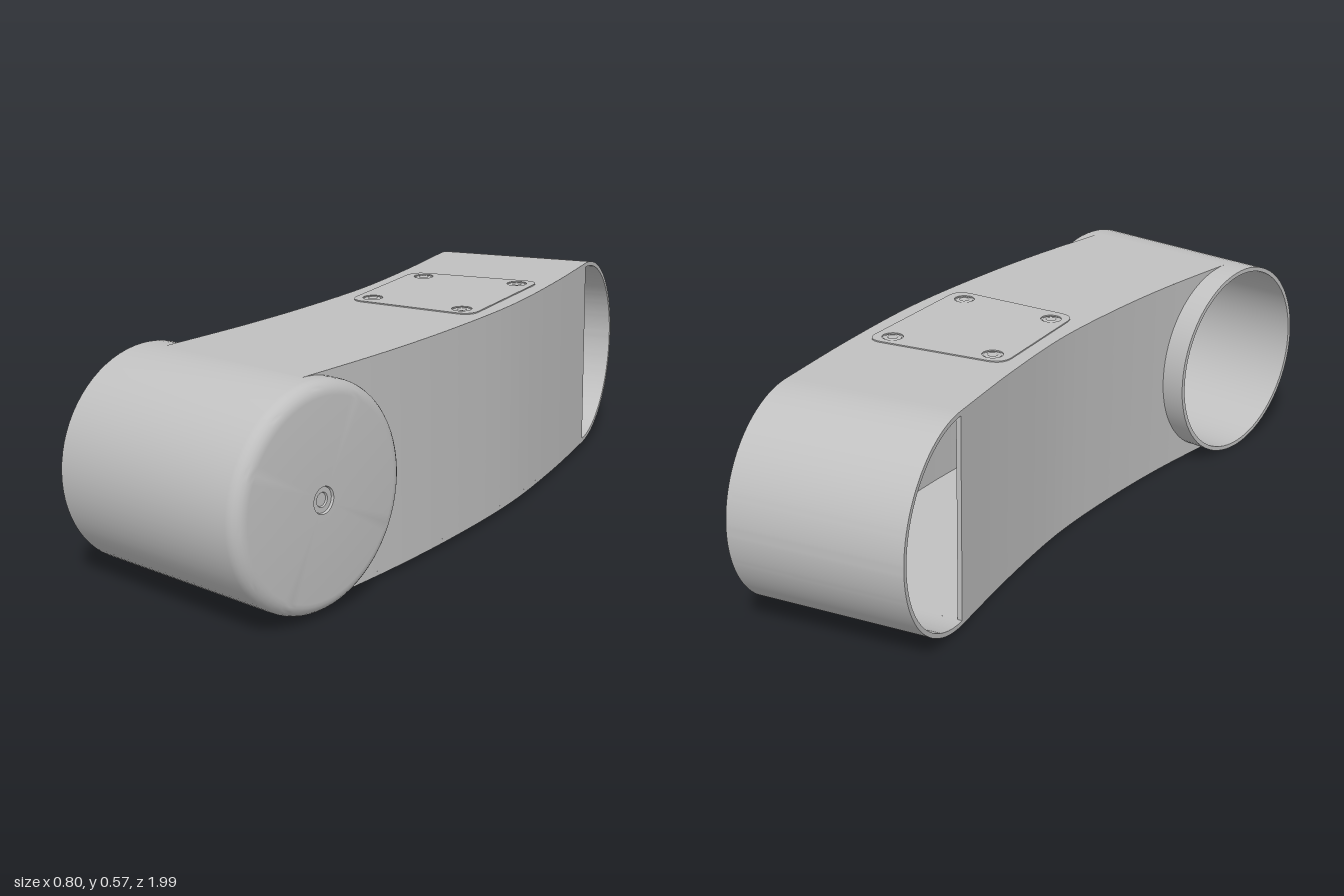
import * as THREE from 'three';
import { toCreasedNormals } from 'three/addons/utils/BufferGeometryUtils.js';
import { ParametricGeometry } from 'three/addons/geometries/ParametricGeometry.js';

const R = 0.277;      // outer radius of both ends, half height of the arm
const WALL = 0.012;   // shell thickness
const HALF_W = 0.23;  // half width of the arm

export function createModel() {
  const grey = new THREE.MeshStandardMaterial({ color: 0xc0c0c0, side: THREE.DoubleSide });
  grey.name = 'light grey';

  const model = new THREE.Group();
  model.name = 'curvedArmLink';
  const body = new THREE.Group();
  body.name = 'armBody';
  body.position.y = 0.285;
  body.rotation.z = 0.0185;
  model.add(body);

  const add = (name, geometry) => {
    const mesh = new THREE.Mesh(geometry, grey);
    mesh.name = name;
    body.add(mesh);
    return mesh;
  };

  // Centre line of the arm in plan (x, z)
  const path = new THREE.SplineCurve([
    [0.16, -0.72], [0.16, -0.45], [0.145, -0.16], [0.10, 0.12], [0.04, 0.38], [-0.04, 0.65],
  ].map(([x, z]) => new THREE.Vector2(x, z)));
  const length = path.getLength();
  const place = (s, w, y, target) => {
    const u = Math.min(1, Math.max(0, s / length));
    const p = path.getPointAt(u), t = path.getTangentAt(u);
    target.set(p.x + t.y * w, y, p.y - t.x * w);
  };
  const surface = (name, rule, nu, nv) =>
    add(name, new ParametricGeometry((u, v, target) => place(...rule(u, v), target), nu, nv));

  // Top and bottom skins, outer and inner faces
  for (const [name, side] of [['top', 1], ['bottom', -1]]) {
    for (const [layer, y] of [['Outer', R], ['Inner', R - WALL]]) {
      surface(`${name}Skin${layer}`, (u, v) => [u * length, (v * 2 - 1) * HALF_W, side * y], 40, 2);
    }
  }

  // Side walls, cut to follow the round joint housing
  const cutLength = (y) => length - Math.sqrt(R * R - y * y) + 0.006;
  const height = (v) => -R * Math.cos(v * Math.PI);
  for (const [name, side] of [['left', 1], ['right', -1]]) {
    for (const [layer, w] of [['Outer', HALF_W], ['Inner', HALF_W - WALL]]) {
      surface(`${name}Wall${layer}`, (u, v) => {
        const y = height(v);
        return [u * cutLength(Math.min(R, Math.abs(y))), side * w, y];
      }, 40, 24);
    }
    // Edge of the wall at the open end
    surface(`${name}WallEdge`, (u, v) => [0, side * (HALF_W - u * WALL), height(v)], 1, 2);
  }

  // Half-round shell at the back, open at both sides
  const ring = new THREE.Shape();
  ring.absarc(0, 0, R, -Math.PI / 2, Math.PI / 2, false);
  ring.absarc(0, 0, R - WALL, Math.PI / 2, -Math.PI / 2, true);
  const shell = new THREE.ExtrudeGeometry(ring, { depth: HALF_W * 2, bevelEnabled: false, curveSegments: 48 });
  const backShell = add('backShell', toCreasedNormals(shell, 0.5));
  backShell.rotation.y = Math.PI / 2;
  backShell.position.set(0.16 - HALF_W, 0, -0.72);

  // Joint housing: cup with a rounded cap edge and a central screw recess
  const h = 0.293, f = 0.035;
  const profile = [[0, h - WALL], [R - f, h - WALL], [R - WALL, h - f], [R - WALL, -h], [R, -h]];
  for (let i = 0; i <= 6; i++) {
    const a = i * Math.PI / 12;
    profile.push([R - f + f * Math.cos(a), h - f + f * Math.sin(a)]);
  }
  profile.push([0.033, h], [0.031, h - 0.006], [0.018, h - 0.006], [0.016, h - 0.01], [0, h - 0.01]);
  const lathe = (points, segments) => toCreasedNormals(
    new THREE.LatheGeometry(points.map(([r, y]) => new THREE.Vector2(r, y)), segments), 0.5);
  const housing = add('jointHousing', lathe(profile, 72));
  const end = path.getPointAt(1), dir = path.getTangentAt(1);
  housing.position.set(end.x - 0.004, 0, end.y);
  housing.quaternion.setFromUnitVectors(
    new THREE.Vector3(0, 1, 0), new THREE.Vector3(dir.y, 0, -dir.x).normalize());

  // Cover plate with rounded corners and four screw holes
  const corners = [[-0.03, -0.415], [0.352, -0.415], [0.318, 0.025], [-0.052, -0.025]]
    .map(([x, z]) => new THREE.Vector2(x, -z));
  const plate = new THREE.Shape();
  corners.forEach((c, i) => {
    const toward = (o) => o.clone().sub(c).setLength(0.045).add(c);
    const a = toward(corners[(i + 3) % 4]), b = toward(corners[(i + 1) % 4]);
    if (i === 0) plate.moveTo(a.x, a.y); else plate.lineTo(a.x, a.y);
    plate.quadraticCurveTo(c.x, c.y, b.x, b.y);
  });
  plate.closePath();
  const screws = [[0.02, -0.37], [0.30, -0.37], [-0.003, -0.07], [0.27, -0.03]];
  for (const [x, z] of screws) {
    plate.holes.push(new THREE.Path().absarc(x, -z, 0.027, 0, Math.PI * 2, true));
  }
  const cover = add('coverPlate', toCreasedNormals(
    new THREE.ExtrudeGeometry(plate, { depth: WALL + 0.005, bevelEnabled: false, curveSegments: 16 }), 0.5));
  cover.rotation.x = -Math.PI / 2;
  cover.position.y = R - WALL - 0.002;

  // Cover screws with a dished centre
  const head = lathe([[0.023, -0.015], [0.023, 0.001], [0.021, 0.002], [0.013, 0.002], [0.011, 0.0006], [0, 0.0006]], 24);
  for (const [x, z] of screws) add('coverScrew', head).position.set(x, R, z);

  return model;
}
